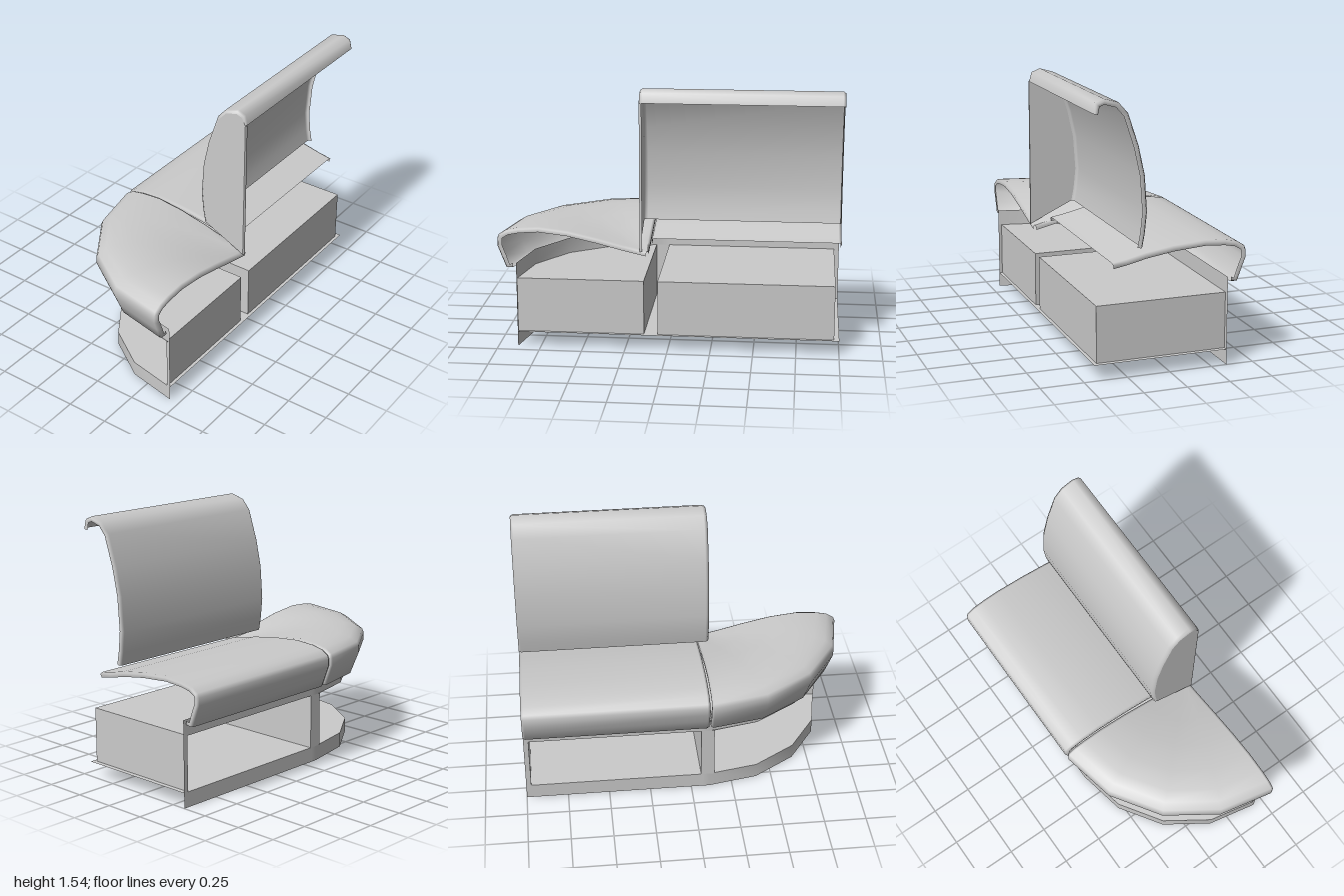
import * as THREE from 'three';

const material = new THREE.MeshStandardMaterial({ color: 0xcccccc, side: THREE.DoubleSide });

// Centre and radii of the quarter-round end; it turns in four steps
const CX = 0.435, CZ = 0.11, BASE_R = 0.775, STEPS = 4;

// Surface through rows of equally many points
function loft(rows, flat = false) {
  const n = rows[0].length, index = [];
  for (let i = 0; i < rows.length - 1; i++) {
    for (let j = 0; j < n - 1; j++) {
      const a = i * n + j, b = a + n;
      index.push(a, b, a + 1, b, b + 1, a + 1);
    }
  }
  let g = new THREE.BufferGeometry();
  g.setAttribute('position', new THREE.Float32BufferAttribute(rows.flat(2), 3));
  g.setIndex(index);
  if (flat) g = g.toNonIndexed();
  g.computeVertexNormals();
  return g;
}

// Profile moved inwards along its own normals
function inset(profile, amount) {
  return profile.map(([x, y], i) => {
    const a = profile[Math.max(i - 1, 0)], b = profile[Math.min(i + 1, profile.length - 1)];
    const tx = b[0] - a[0], ty = b[1] - a[1], l = Math.hypot(tx, ty);
    return [x + ty / l * amount, y - tx / l * amount];
  });
}

// Horizontal sheet from [x, z] corners
function sheet(points, y) {
  const shape = new THREE.Shape(points.map(([x, z]) => new THREE.Vector2(x, -z)));
  return new THREE.ShapeGeometry(shape).rotateX(-Math.PI / 2).translate(0, y, 0);
}

// Upright wall along [x, z] points
const wall = (path, y0, y1, flat) =>
  loft([y0, y1].map(y => path.map(([x, z]) => [x, y, z])), flat);

function add(parent, name, geometry) {
  const mesh = new THREE.Mesh(geometry, material);
  mesh.name = name;
  parent.add(mesh);
}

function createBase() {
  const base = new THREE.Group();
  base.name = 'base';
  const arc = [];
  for (let i = 0; i <= STEPS; i++) {
    const a = i / STEPS * Math.PI / 2;
    arc.push([CX - BASE_R * Math.cos(a), CZ + BASE_R * Math.sin(a)]);
  }
  const x0 = CX - BASE_R, x1 = 0.44, z1 = CZ + BASE_R;
  const outline = [[x0, -1], [x0, 0.07], ...arc, [x1, z1]];

  // Skirt, top rail, floor
  add(base, 'skirt', wall(outline, 0, 0.09));
  add(base, 'topRail', wall(outline, 0.415, 0.51));
  add(base, 'floor', sheet([...outline, [x1, -1]], 0.09));

  // Posts between the niche openings
  [[[x0, -1], [x0, -0.97]], [[x0, 0.06], [x0, 0.14]], [[0.42, z1], [x1, z1]]]
    .forEach(path => add(base, 'post', wall(path, 0.09, 0.415, true)));

  // Open niches: walls and ceiling
  const side = [[x0, 0.06], [0.42, 0.06], [0.42, -0.97], [x0, -0.97]];
  const end = [[x0, 0.14], [0.42, 0.14], [0.42, z1]];
  add(base, 'sideNicheWalls', wall(side, 0.09, 0.415, true));
  add(base, 'sideNicheCeiling', sheet(side, 0.415));
  add(base, 'endNicheWalls', wall(end, 0.09, 0.415, true));
  add(base, 'endNicheCeiling', sheet([...end, ...arc.slice(1, -1).reverse()], 0.415));
  return base;
}

function createSeat() {
  const seat = new THREE.Group();
  seat.name = 'seat';
  // Front roll shared by both cushions, as [distance from back, height]
  const roll = [[0.64, 0.73], [0.76, 0.722], [0.83, 0.708], [0.875, 0.68], [0.885, 0.655],
    [0.885, 0.61], [0.862, 0.55], [0.835, 0.48], [0.795, 0.48]];
  const straight = [[0.1, 0.65], [0.18, 0.664], [0.29, 0.69], [0.45, 0.715], ...roll];
  const round = [[0.01, 0.6], [0.15, 0.633], [0.3, 0.672], [0.47, 0.71], ...roll];

  // Straight cushion with rolled ends
  const rows = [[0.03, -0.993], [0.008, -1], [0, -0.985], [0, 0.085], [0.008, 0.1], [0.03, 0.098]];
  add(seat, 'straightCushion', loft(rows.map(([d, z]) =>
    inset(straight, d).map(([r, y]) => [CX - r, y, z]))));

  // Quarter-round cushion, swept about the back corner, with rolled ends
  const turn = (d, angle, dx = 0, dz = 0) => inset(round, d).map(([r, y]) =>
    [CX - r * Math.cos(angle) + dx, y, CZ + r * Math.sin(angle) + dz]);
  const sweep = [turn(0.03, 0, 0, 0.002), turn(0.008, 0), turn(0, 0, 0, 0.015)];
  for (let i = 1; i < STEPS; i++) sweep.push(turn(0, i / STEPS * Math.PI / 2));
  const q = Math.PI / 2;
  sweep.push(turn(0, q, -0.015), turn(0.008, q), turn(0.03, q, -0.002));
  add(seat, 'roundCushion', loft(sweep));
  return seat;
}

function createBackrest() {
  const back = new THREE.Group();
  back.name = 'backrest';
  const profile = [[0.163, 0.72], [0.148, 0.8], [0.136, 0.92], [0.15, 1.12], [0.185, 1.28],
    [0.245, 1.46], [0.3, 1.522], [0.38, 1.545], [0.43, 1.525], [0.445, 1.47]];

  // Curved shell, open at the rear, with rolled ends
  const rows = [[0.03, -0.993], [0.01, -1], [0, -0.985], [0, 0.14], [0.006, 0.154], [0.018, 0.16]];
  add(back, 'shell', loft(rows.map(([d, z]) =>
    inset(profile, d).map(([x, y]) => [x, y, z]))));

  // Flat end cap with a narrow folded rear edge
  const capPoints = [...inset(profile, 0.018).slice(0, -1), [0.44, 1.47], [0.44, 0.6]];
  const cap = new THREE.Shape(capPoints.map(([x, y]) => new THREE.Vector2(x, y)));
  add(back, 'endCap', new THREE.ShapeGeometry(cap).translate(0, 0, 0.16));
  add(back, 'endCapEdge', wall([[0.44, 0.16], [0.445, 0.155], [0.445, 0.145]], 0.6, 1.47));
  return back;
}

export function createModel() {
  const model = new THREE.Group();
  model.name = 'sofaEnd';
  model.add(createBase(), createSeat(), createBackrest());
  return model;
}
